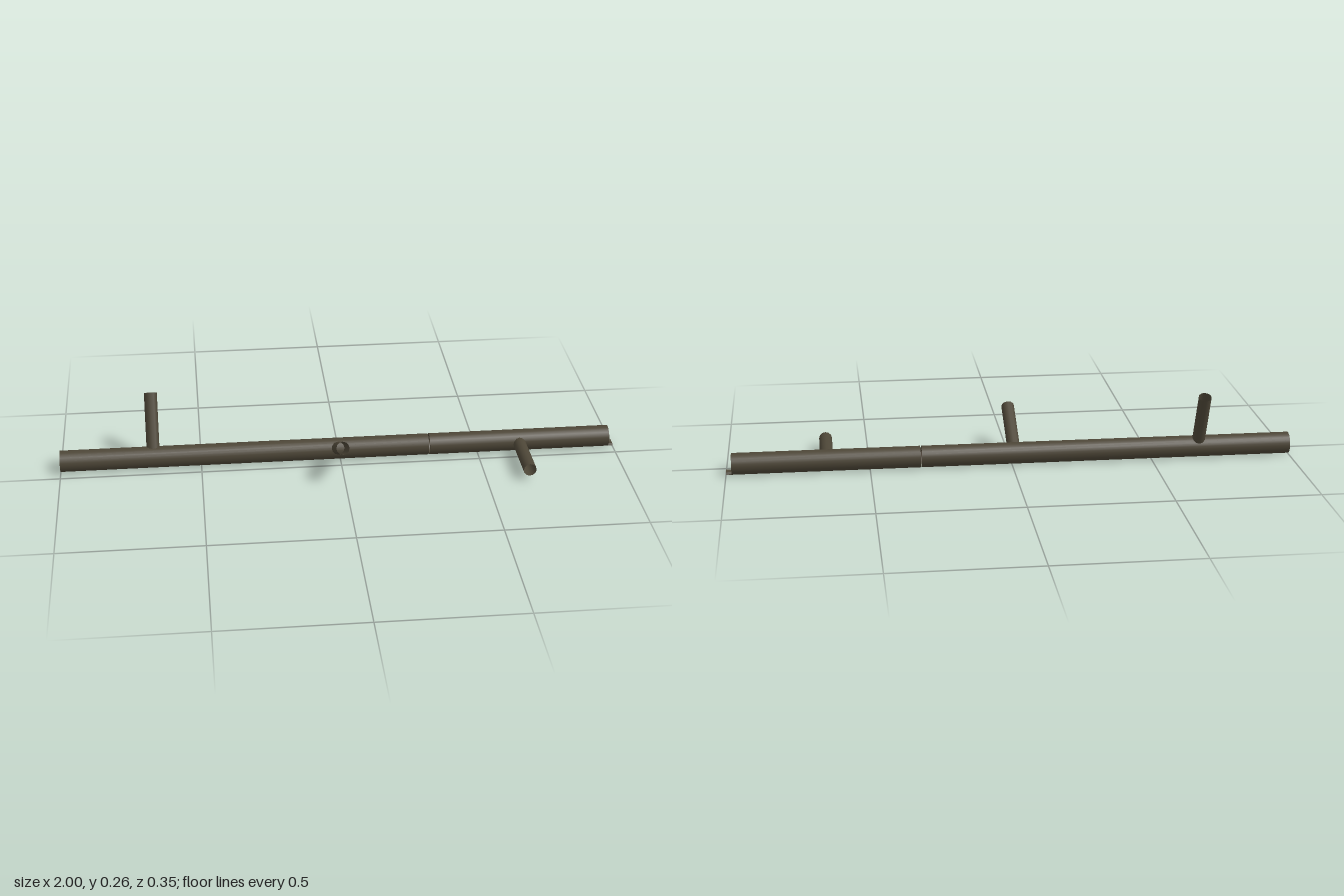
import * as THREE from 'three';

const R = 0.038, INNER = 0.034, CY = 0.038, CZ = -0.06;

const bark = new THREE.MeshStandardMaterial({ color: 0x4d4637, side: THREE.DoubleSide });
bark.name = 'bark';
const wood = new THREE.MeshStandardMaterial({ color: 0x7d6a5e, side: THREE.DoubleSide });
wood.name = 'cut wood';

export function createModel() {
  const group = new THREE.Group();
  const add = (name, geometry, material, parent = group) => {
    const mesh = new THREE.Mesh(geometry, material);
    mesh.name = name;
    parent.add(mesh);
    return mesh;
  };

  // Everything on the trunk is built around the x axis, then lifted into place
  const trunk = new THREE.Group();
  trunk.name = 'trunk';
  trunk.position.set(0, CY, CZ);
  group.add(trunk);

  // Hollow bark shell between two x positions
  const shell = (name, x0, x1) => {
    const points = [[INNER, x0], [R, x0], [R, x0], [R, x1], [R, x1], [INNER, x1], [INNER, x1], [INNER, x0]]
      .map(([r, x]) => new THREE.Vector2(r, x));
    add(name, new THREE.LatheGeometry(points, 24).rotateZ(-Math.PI / 2), bark, trunk);
  };
  shell('longTrunkSection', -1, 0.319);
  shell('shortTrunkSection', 0.323, 0.98);

  // Cut wood discs at the closed end and behind the seam
  const disc = (name, x, facing) => {
    const g = new THREE.CircleGeometry(INNER + 0.001, 24).rotateY(facing * Math.PI / 2);
    add(name, g, wood, trunk).position.x = x;
  };
  disc('endGrain', -0.998, -1);
  disc('innerGrain', 0.317, 1);

  // Ragged bark left inside the lower half of the open end
  const depths = [0.033, 0.028, 0.030, 0.025, 0.029, 0.026, 0.027, 0.026, 0.030, 0.024, 0.028, 0.027, 0.033];
  const ragged = new THREE.Shape();
  const start = -Math.PI, sweep = Math.PI;
  ragged.absarc(0, 0, 0.036, start, start + sweep, false);
  for (let i = depths.length - 1; i >= 0; i--) {
    const a = start + sweep * i / (depths.length - 1);
    ragged.lineTo(depths[i] * Math.cos(a), depths[i] * Math.sin(a));
  }
  const raggedGeometry = new THREE.ExtrudeGeometry(ragged, { depth: 0.008, bevelEnabled: false, curveSegments: 16 });
  add('raggedBark', raggedGeometry.rotateY(Math.PI / 2), bark, trunk).position.x = 0.97;

  // Splinter that juts from the bottom of the open end
  const splinter = new THREE.Shape();
  const half = 0.52;
  splinter.absarc(0, 0, R, -Math.PI / 2 - half, -Math.PI / 2 + half, false);
  splinter.absarc(0, 0, 0.029, -Math.PI / 2 + half, -Math.PI / 2 - half, true);
  const splinterGeometry = new THREE.ExtrudeGeometry(splinter, { depth: 0.03, bevelEnabled: false });
  add('splinter', splinterGeometry.rotateY(Math.PI / 2), bark, trunk).position.x = 0.97;

  // Open branch stubs: x position and tip in y, z
  const branches = [
    ['upperBranch', -0.67, 0.248, -0.152],
    ['middleBranch', -0.01, 0.148, 0.145],
    ['lowerBranch', 0.65, 0.041, 0.173],
  ];
  for (const [name, x, y, z] of branches) {
    const axis = new THREE.Vector3(0, y - CY, z - CZ);
    const full = axis.length();
    axis.normalize();
    const inset = 0.026;
    const g = new THREE.CylinderGeometry(0.023, 0.023, full - inset, 12, 1, true);
    g.translate(0, (full + inset) / 2, 0);
    const branch = add(name, g, bark);
    branch.position.set(x, CY, CZ);
    branch.quaternion.setFromUnitVectors(new THREE.Vector3(0, 1, 0), axis);
  }

  return group;
}
